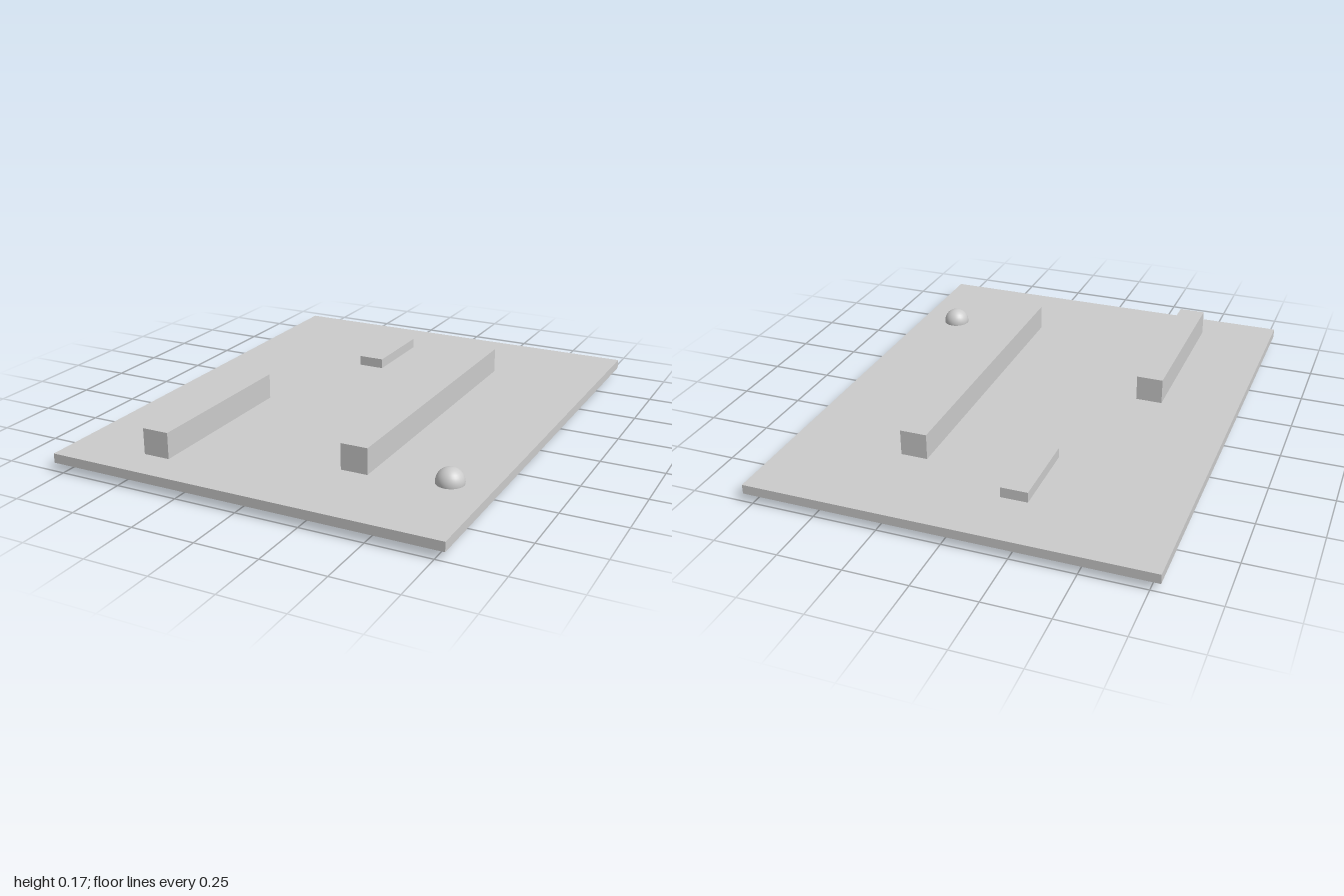
import * as THREE from 'three';

export function createModel() {
  const model = new THREE.Group();
  const material = new THREE.MeshStandardMaterial({ color: 0xcccccc });

  function add(name, geometry, x, y, z) {
    const mesh = new THREE.Mesh(geometry, material);
    mesh.name = name;
    mesh.position.set(x, y, z);
    model.add(mesh);
  }

  // Box given by its extents along each axis
  function addBox(name, [x0, x1], [y0, y1], [z0, z1]) {
    add(name, new THREE.BoxGeometry(x1 - x0, y1 - y0, z1 - z0),
      (x0 + x1) / 2, (y0 + y1) / 2, (z0 + z1) / 2);
  }

  // Thin floor plate
  addBox('floor', [-0.787, 0.787], [0.034, 0.071], [-1, 1]);

  // Walls standing on the floor
  addBox('longWall', [0.231, 0.338], [0.067, 0.174], [-0.603, 0.652]);
  addBox('shortWall', [-0.483, -0.376], [0.067, 0.174], [0.13, 0.852]);

  // Low block sunk through the floor
  addBox('sunkenBlock', [-0.231, -0.124], [0, 0.112], [-0.752, -0.417]);

  // Ball sunk partway into the floor
  add('ball', new THREE.SphereGeometry(0.054, 32, 16), 0.627, 0.077, 0.582);

  return model;
}
